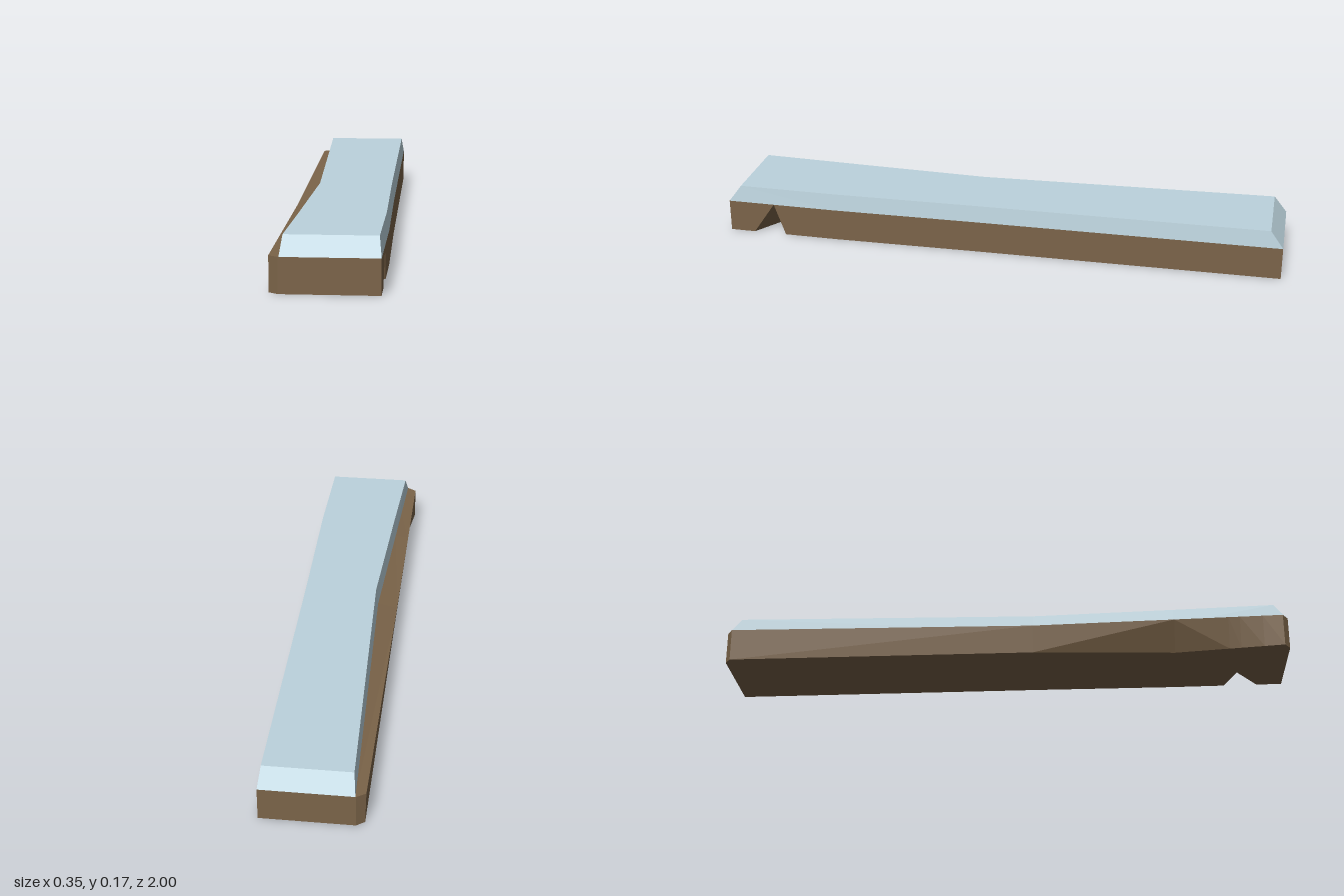
import * as THREE from 'three';

// Skins a row of cross-sections (counter-clockwise seen from +z, ordered by rising z) and caps both ends.
function loft(rings) {
  const pos = [];
  const tri = (...pts) => pts.forEach((p) => pos.push(p.x, p.y, p.z));
  const n = rings[0].length;
  for (let i = 0; i < rings.length - 1; i++) {
    for (let j = 0; j < n; j++) {
      const k = (j + 1) % n;
      const a = rings[i][j], b = rings[i][k], c = rings[i + 1][k], d = rings[i + 1][j];
      // the shorter diagonal keeps the notch faces crisp
      if (a.distanceTo(c) <= b.distanceTo(d)) {
        tri(a, b, c); tri(a, c, d);
      } else {
        tri(a, b, d); tri(b, c, d);
      }
    }
  }
  const back = rings[0], front = rings[rings.length - 1];
  for (let j = 1; j < n - 1; j++) {
    tri(front[0], front[j], front[j + 1]);
    tri(back[0], back[j + 1], back[j]);
  }
  const geo = new THREE.BufferGeometry();
  geo.setAttribute('position', new THREE.Float32BufferAttribute(pos, 3));
  geo.computeVertexNormals();
  return geo;
}

// Piecewise linear curve through [z, value] points.
function along(points, z) {
  for (let i = 1; i < points.length; i++) {
    const [z0, v0] = points[i - 1], [z1, v1] = points[i];
    if (z <= z1) return v0 + ((v1 - v0) * (z - z0)) / (z1 - z0);
  }
  return points[points.length - 1][1];
}

const V = (x, y, z) => new THREE.Vector3(x, y, z);
const SEAM = 0.115, TOP = 0.175;

// Plan outlines of the bar
const rightEdge = [[-1, 0.165], [0.1, 0.168], [0.6, 0.173], [1, 0.168]];
const plateEdge = [[-1, -0.143], [0.1, -0.105], [1, -0.142]];
const ledgeEdge = [[-1, -0.145], [-0.98, -0.175], [0.98, -0.175], [1, -0.145]];
const footEdge = [[-1, -0.145], [-0.98, -0.172], [0.1, -0.165], [0.6, -0.13], [0.98, -0.175], [1, -0.145]];
const ledgeHeight = [[-0.98, SEAM], [0.1, 0.1], [0.98, SEAM]];

export function createModel() {
  const wood = new THREE.MeshStandardMaterial({ color: 0x7b6449 });
  wood.name = 'brown';
  const metal = new THREE.MeshStandardMaterial({ color: 0xbcd3dd });
  metal.name = 'paleBlue';

  const group = new THREE.Group();
  group.name = 'bar';

  // Lower body, with a pointed notch cut into one side near the front
  const bodyRings = [-1, -0.98, 0.1, 0.6, 0.79, 0.83, 0.91, 0.98, 1].map((z) => {
    const right = along(rightEdge, z);
    return [
      V(along(footEdge, z), 0, z),
      V(z === 0.83 ? 0.055 : right, 0, z),
      V(right, SEAM, z),
      V(along(plateEdge, z), SEAM, z),
      V(along(ledgeEdge, z), along(ledgeHeight, z), z),
    ];
  });
  const body = new THREE.Mesh(loft(bodyRings), wood);
  body.name = 'lowerBody';
  group.add(body);

  // Upper plate, with bevelled sides and ends
  const plateRings = [-1, 0.1, 0.6, 1].map((z) => {
    const left = along(plateEdge, z), right = along(rightEdge, z);
    const zTop = THREE.MathUtils.clamp(z, -0.955, 0.955);
    return [
      V(left, SEAM, z),
      V(right, SEAM, z),
      V(right - 0.008, TOP, zTop),
      V(left + 0.008, TOP, zTop),
    ];
  });
  const plate = new THREE.Mesh(loft(plateRings), metal);
  plate.name = 'upperPlate';
  group.add(plate);

  return group;
}
